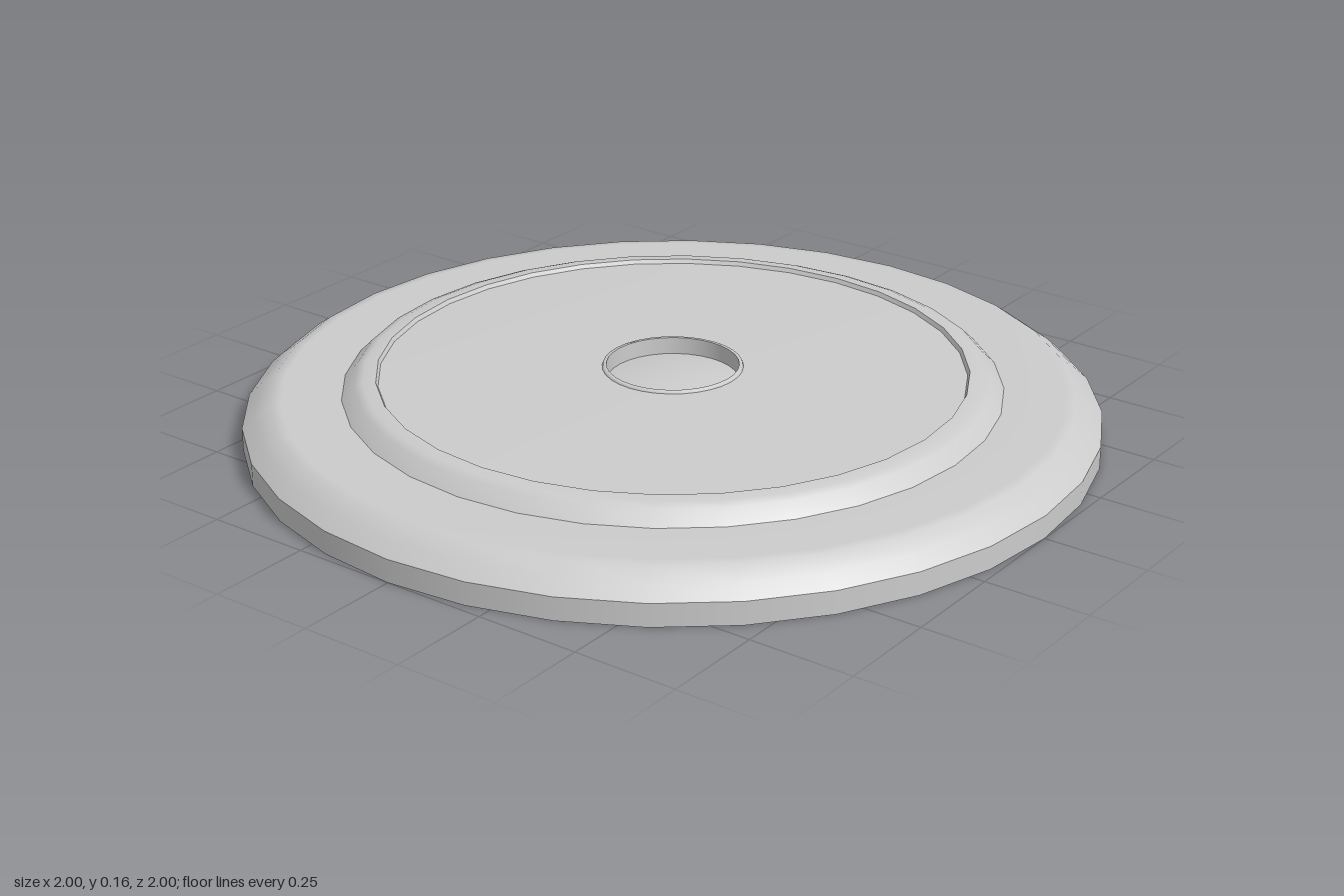
import * as THREE from 'three';

const SIDES = 32;

export function createModel() {
  const group = new THREE.Group();
  const material = new THREE.MeshStandardMaterial({ color: 0xcccccc });

  // Turn a profile of [radius, height] points around the y axis
  function turned(name, profile) {
    const points = profile.map(([r, y]) => new THREE.Vector2(r, y));
    const mesh = new THREE.Mesh(new THREE.LatheGeometry(points, SIDES), material);
    mesh.name = name;
    group.add(mesh);
  }

  // Shallow dome from its edge to the centre
  function dome(radius, edgeY, topY, innerRadius = 0, steps = 6) {
    return Array.from({ length: steps + 1 }, (_, i) => {
      const r = THREE.MathUtils.lerp(radius, innerRadius, i / steps);
      return [r, topY - (topY - edgeY) * (r / radius) ** 2];
    });
  }

  // Flat underside and straight rim
  turned('underside', [[0, 0], [1, 0]]);
  turned('outerRim', [[1, 0], [1, 0.055]]);

  // Bevelled shoulder running in to the raised ring
  turned('shoulder', [[1, 0.055], [0.97, 0.083], [0.935, 0.108], [0.91, 0.11], [0.77, 0.11]]);

  // Raised ring with a small step down on its inside
  turned('raisedRing', [[0.77, 0.11], [0.74, 0.14], [0.72, 0.148], [0.69, 0.15]]);
  turned('ringStep', [[0.69, 0.15], [0.685, 0.14]]);

  // Gently crowned panel
  turned('panel', dome(0.685, 0.14, 0.151, 0.165));

  // Lip and wall of the central recess
  turned('recessLip', [[0.165, 0.15], [0.163, 0.156], [0.155, 0.156]]);
  turned('recessWall', [[0.155, 0.156], [0.155, 0.115]]);

  // Domed button set into the recess
  turned('button', dome(0.155, 0.115, 0.13));

  return group;
}
